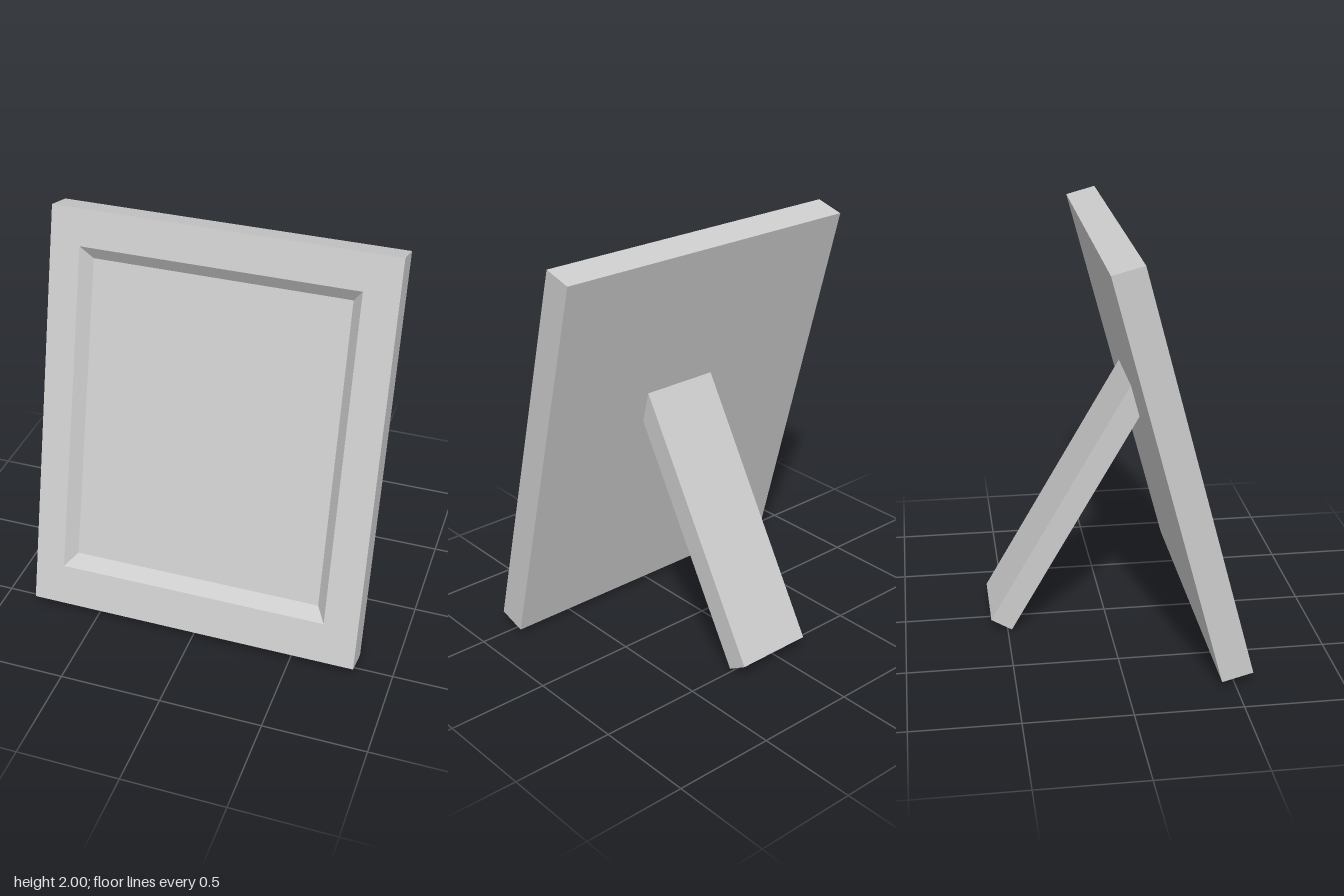
import * as THREE from 'three';

const material = new THREE.MeshStandardMaterial({ color: 0xcccccc, flatShading: true });

// Rectangle cross-section, corners counter-clockwise seen from the front
const rect = (x0, x1, y0, y1, z) => [[x0, y0, z], [x1, y0, z], [x1, y1, z], [x0, y1, z]];

// Joins successive rectangles with flat quads and closes both ends
function loftRects(rings) {
  const positions = [];
  const quad = (a, b, c, d) => positions.push(...a, ...b, ...c, ...a, ...c, ...d);
  const first = rings[0], last = rings[rings.length - 1];
  quad(first[3], first[2], first[1], first[0]);
  for (let i = 0; i < rings.length - 1; i++) {
    for (let j = 0; j < 4; j++) {
      const k = (j + 1) % 4;
      quad(rings[i][j], rings[i][k], rings[i + 1][k], rings[i + 1][j]);
    }
  }
  quad(...last);
  const geometry = new THREE.BufferGeometry();
  geometry.setAttribute('position', new THREE.Float32BufferAttribute(positions, 3));
  geometry.computeVertexNormals();
  return geometry;
}

export function createModel() {
  const model = new THREE.Group();
  model.name = 'pictureFrame';

  // Leaning frame: slab with a bevelled recess for the picture
  const frame = new THREE.Mesh(loftRects([
    rect(-0.822, 0.822, 0, 2.003, -0.15),
    rect(-0.822, 0.822, 0, 2.003, 0),
    rect(-0.677, 0.656, 0.202, 1.827, 0),
    rect(-0.628, 0.608, 0.26, 1.766, -0.06),
  ]), material);
  frame.name = 'frame';
  frame.position.set(0, 0.065, 0.58);
  frame.rotation.x = -Math.PI / 12;
  model.add(frame);

  // Rear support leg, its top cut flush with the frame's back; profile in (-z, y)
  const profile = new THREE.Shape([[-0.107, 1.25], [-0.15, 1.093], [0.48, 0], [0.58, 0.06]]
    .map(([x, y]) => new THREE.Vector2(x, y)));
  const legGeometry = new THREE.ExtrudeGeometry(profile, { depth: 0.393, bevelEnabled: false });
  legGeometry.rotateY(Math.PI / 2);
  const leg = new THREE.Mesh(legGeometry, material);
  leg.name = 'supportLeg';
  leg.position.x = -0.15;
  model.add(leg);

  return model;
}
